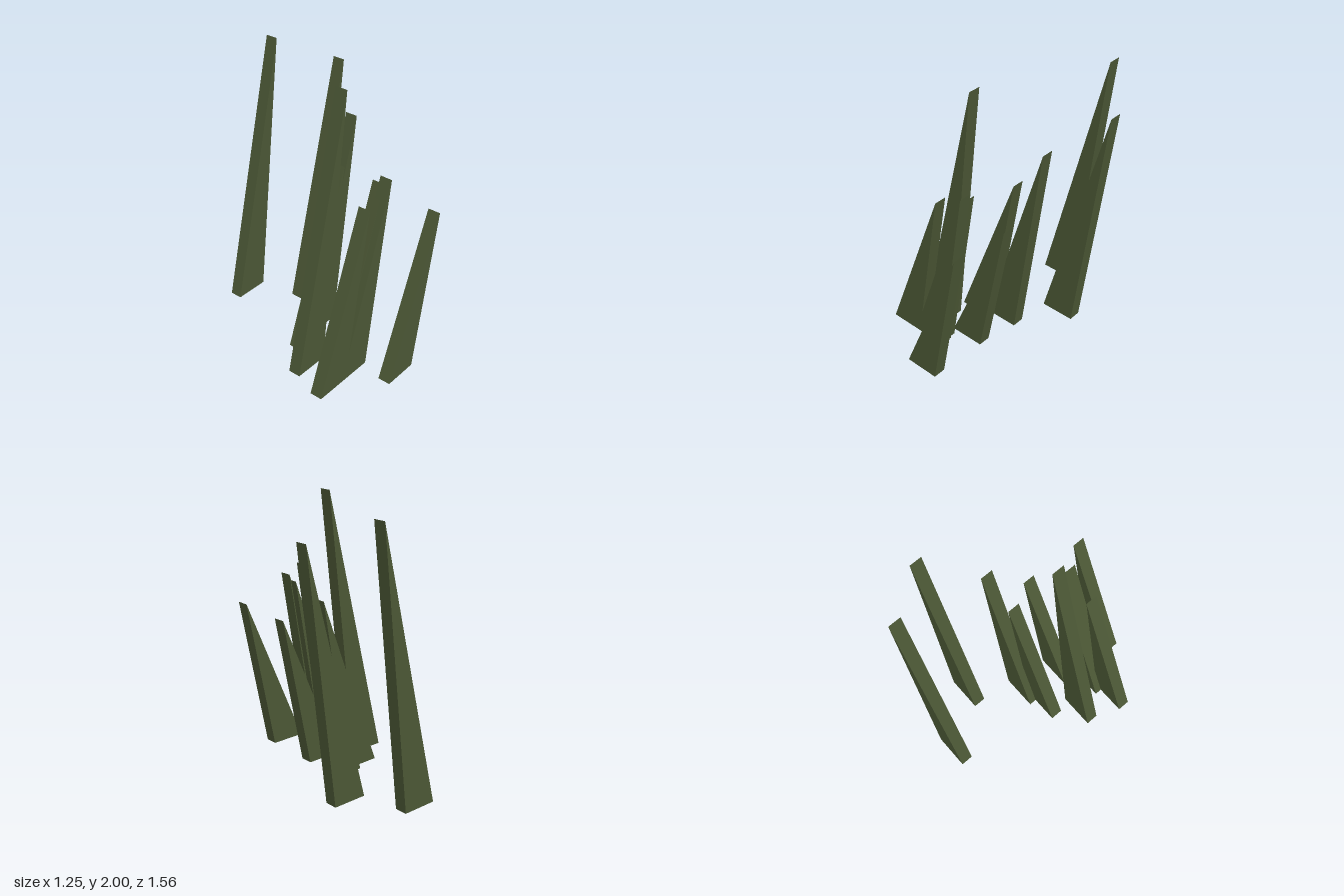
import * as THREE from 'three';

const BASE = 0.26, LEAN = 0.49, DEPTH = 0.092;

// Each blade: left base corner x, centre z, height
const BLADES = [
  [-0.16, -0.733, 1.975],
  [0.13, -0.363, 1.82],
  [-0.142, -0.03, 1.59],
  [-0.338, 0.025, 1.297],
  [-0.549, 0.205, 2.0],
  [-0.194, 0.285, 1.13],
  [-0.415, 0.415, 1.345],
  [-0.401, 0.466, 1.388],
  [-0.627, 0.466, 1.26],
  [-0.213, 0.73, 1.15],
];

// Leaning triangular prism, pointed at the top
function bladeGeometry(height) {
  const shape = new THREE.Shape([
    new THREE.Vector2(0, 0),
    new THREE.Vector2(BASE, 0),
    new THREE.Vector2(LEAN, height),
  ]);
  const geometry = new THREE.ExtrudeGeometry(shape, { depth: DEPTH, bevelEnabled: false });
  return geometry.translate(0, 0, -DEPTH / 2);
}

export function createModel() {
  const group = new THREE.Group();
  group.name = 'grassTuft';
  const green = new THREE.MeshStandardMaterial({ color: 0x4b5735 });
  green.name = 'olive green';

  BLADES.forEach(([x, z, height], i) => {
    const blade = new THREE.Mesh(bladeGeometry(height), green);
    blade.name = `grassBlade${i + 1}`;
    blade.position.set(x, 0, z);
    group.add(blade);
  });
  return group;
}
